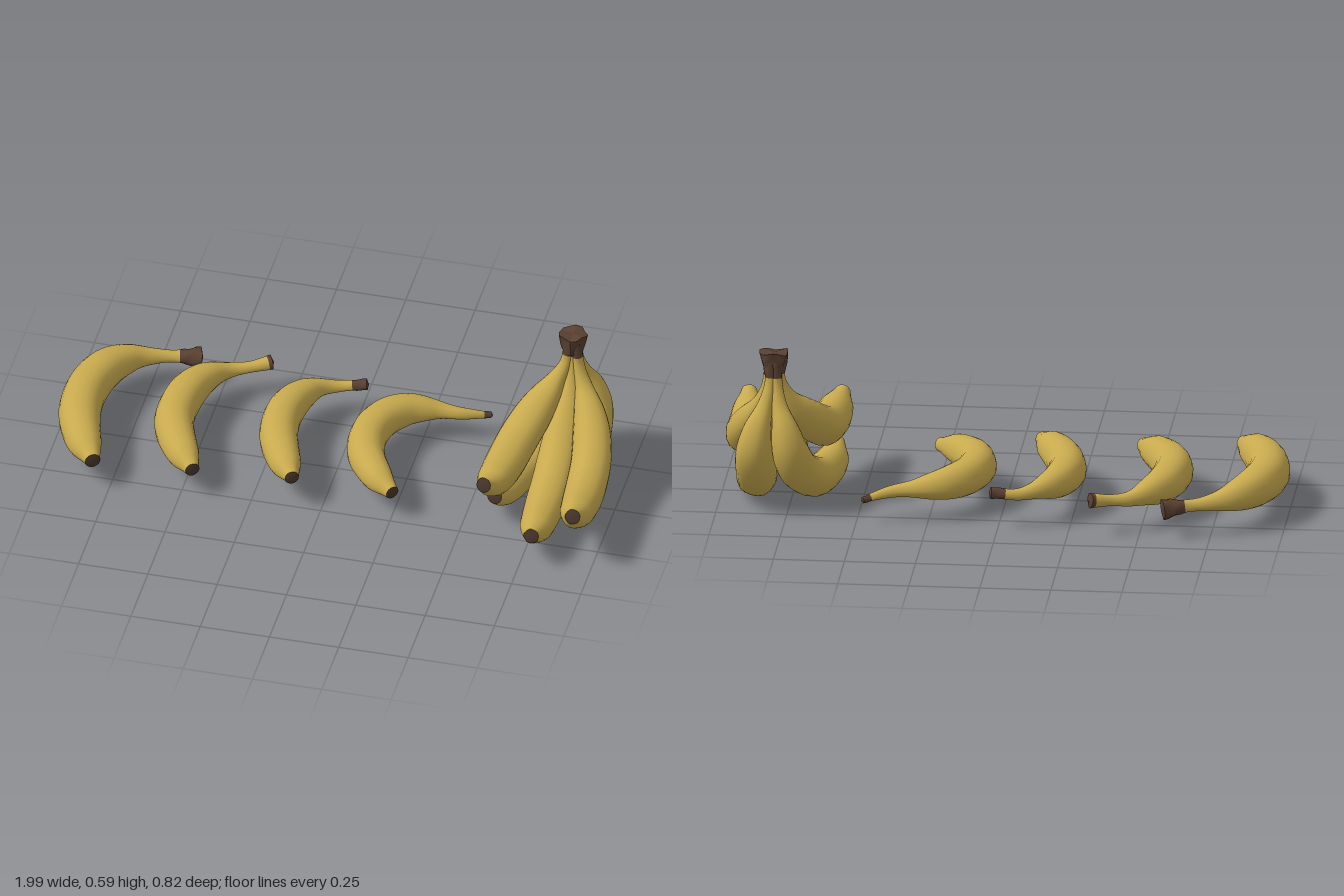
import * as THREE from 'three';

const mat = (name, color) => {
  const m = new THREE.MeshStandardMaterial({ color });
  m.name = name;
  return m;
};

const RINGS = 60, SIDES = 20;
// Radius at even steps from blossom tip to stem end
const PROFILE = [0.027, 0.056, 0.067, 0.072, 0.073, 0.072, 0.067, 0.053, 0.031, 0.021];

// Sweeps a banana along a centre line running from blossom tip to stem end.
// brown = share of the length with a dried stem, endR = stem end radius
function banana(name, points, materials, { size = 1, endR = 0.022, brown = 0.04 } = {}) {
  const curve = new THREE.CatmullRomCurve3(points.map(p => new THREE.Vector3(...p)));
  const { tangents, normals, binormals } = curve.computeFrenetFrames(RINGS, false);
  const keys = [...PROFILE.map(r => r * size), endR];
  const radius = new THREE.SplineCurve(keys.map((r, i) => new THREE.Vector2(i, r)));
  const pos = [], idx = [];
  const ring = (i) => {
    const c = curve.getPointAt(i / RINGS), t = i / RINGS;
    const r0 = radius.getPoint(t).y;
    for (let j = 0; j < SIDES; j++) {
      const a = j / SIDES * Math.PI * 2;
      // faint five-sided ridges; dried stem is a little gnarled
      const rough = t > 1 - brown ? 0.1 * Math.sin(a * 3 + i * 1.7) : 0;
      const r = r0 * (1 + 0.02 * Math.cos(5 * a) + rough);
      const p = c.clone().addScaledVector(normals[i], r * Math.cos(a)).addScaledVector(binormals[i], r * Math.sin(a));
      pos.push(p.x, p.y, p.z);
    }
  };
  for (let i = 0; i <= RINGS; i++) ring(i);
  for (let i = 0; i < RINGS; i++) {
    for (let j = 0; j < SIDES; j++) {
      const k = (j + 1) % SIDES;
      const a = i * SIDES + j, b = i * SIDES + k;
      idx.push(a, b, b + SIDES, a, b + SIDES, a + SIDES);
    }
  }
  // slightly domed end caps with their own rim
  const caps = [[0, -1], [RINGS, 1]].map(([i, dir]) => {
    const first = pos.length / 3, start = idx.length;
    ring(i);
    const c = curve.getPointAt(i / RINGS).addScaledVector(tangents[i], dir * 0.007);
    pos.push(c.x, c.y, c.z);
    for (let j = 0; j < SIDES; j++) {
      const a = first + j, b = first + (j + 1) % SIDES;
      idx.push(first + SIDES, dir > 0 ? a : b, dir > 0 ? b : a);
    }
    return start;
  });
  const geo = new THREE.BufferGeometry();
  geo.setAttribute('position', new THREE.Float32BufferAttribute(pos, 3));
  geo.setIndex(idx);
  geo.computeVertexNormals();
  const perRing = SIDES * 6;
  const split = Math.round(RINGS * (1 - brown)) * perRing;
  geo.addGroup(0, split, 0);
  geo.addGroup(split, RINGS * perRing - split, 1);
  geo.addGroup(caps[0], SIDES * 3, 2);
  geo.addGroup(caps[1], SIDES * 3, 1);
  const mesh = new THREE.Mesh(geo, materials);
  mesh.name = name;
  return mesh;
}

export function createModel() {
  const group = new THREE.Group();
  group.name = 'bananas';
  const peel = mat('peelYellow', 0xc8aa4e);
  const stem = mat('stemBrown', 0x594031);
  const tip = mat('tipBrown', 0x46352a);
  const mats = [peel, stem, tip];

  // Loose bananas lying in a row
  const loose = [
    { opts: { size: 1.03, endR: 0.036, brown: 0.09 }, path: [
      [-0.805, 0.13, 0.32], [-0.87, 0.135, 0.2], [-0.915, 0.137, 0.06], [-0.92, 0.137, -0.08], [-0.885, 0.137, -0.2],
      [-0.82, 0.13, -0.285], [-0.74, 0.12, -0.33], [-0.66, 0.115, -0.355], [-0.585, 0.108, -0.378]] },
    { opts: { size: 0.96, endR: 0.026, brown: 0.015 }, path: [
      [-0.455, 0.125, 0.28], [-0.525, 0.13, 0.17], [-0.58, 0.132, 0.04], [-0.587, 0.132, -0.07], [-0.565, 0.132, -0.18],
      [-0.52, 0.13, -0.26], [-0.46, 0.122, -0.315], [-0.395, 0.125, -0.345], [-0.33, 0.133, -0.378]] },
    { opts: { size: 0.93, endR: 0.02, brown: 0.06 }, path: [
      [-0.1, 0.143, 0.265], [-0.155, 0.14, 0.16], [-0.205, 0.137, 0.03], [-0.218, 0.137, -0.09], [-0.195, 0.137, -0.19],
      [-0.145, 0.135, -0.265], [-0.07, 0.125, -0.31], [0.025, 0.135, -0.33]] },
    { opts: { size: 0.92, endR: 0.011, brown: 0.04 }, path: [
      [0.255, 0.12, 0.235], [0.18, 0.128, 0.16], [0.115, 0.132, 0.05], [0.1, 0.134, -0.06], [0.13, 0.134, -0.16],
      [0.195, 0.13, -0.23], [0.28, 0.122, -0.262], [0.37, 0.112, -0.275], [0.425, 0.102, -0.295], [0.475, 0.09, -0.32]] },
  ];
  loose.forEach(({ path, opts }, i) => group.add(banana(`looseBanana${i + 1}`, path, mats, opts)));

  // Bunch hanging from one crown
  const bunch = new THREE.Group();
  bunch.name = 'bunch';
  const fingers = {
    upperRightBanana: [[0.605, 0.28, 0.32], [0.62, 0.245, 0.24], [0.632, 0.235, 0.12], [0.65, 0.255, 0],
      [0.69, 0.315, -0.1], [0.74, 0.395, -0.17], [0.775, 0.47, -0.195], [0.787, 0.56, -0.2]],
    frontBanana: [[0.795, 0.145, 0.395], [0.79, 0.115, 0.3], [0.787, 0.107, 0.18], [0.787, 0.13, 0.06],
      [0.787, 0.2, -0.07], [0.793, 0.3, -0.15], [0.8, 0.4, -0.19], [0.8, 0.48, -0.203], [0.8, 0.565, -0.205]],
    upperLeftBanana: [[0.942, 0.25, 0.385], [0.935, 0.205, 0.3], [0.93, 0.183, 0.2], [0.925, 0.187, 0.1], [0.917, 0.225, 0],
      [0.89, 0.295, -0.1], [0.85, 0.38, -0.17], [0.823, 0.46, -0.195], [0.812, 0.56, -0.2]],
    lowerLeftBanana: [[0.885, 0.118, 0.19], [0.885, 0.085, 0.1], [0.88, 0.073, 0], [0.87, 0.095, -0.1], [0.865, 0.155, -0.2],
      [0.865, 0.24, -0.258], [0.85, 0.33, -0.265], [0.825, 0.41, -0.245], [0.81, 0.48, -0.23], [0.808, 0.56, -0.225]],
    lowerRightBanana: [[0.613, 0.135, 0.19], [0.622, 0.1, 0.1], [0.64, 0.09, 0], [0.67, 0.1, -0.1], [0.71, 0.155, -0.2],
      [0.735, 0.24, -0.258], [0.755, 0.33, -0.265], [0.777, 0.41, -0.245], [0.787, 0.48, -0.23], [0.79, 0.56, -0.225]],
  };
  for (const [name, path] of Object.entries(fingers)) {
    bunch.add(banana(name, path, mats, { size: 0.98, brown: 0.06 }));
  }

  // Gnarled crown joining the stems
  const geo = new THREE.CylinderGeometry(0.048, 0.036, 0.07, 14, 3);
  const p = geo.attributes.position;
  for (let i = 0; i < p.count; i++) {
    const x = p.getX(i), y = p.getY(i), z = p.getZ(i);
    const a = Math.atan2(z, x);
    const k = 1 + 0.09 * Math.sin(5 * a + y * 40);
    p.setXYZ(i, x * k * 1.06, y + 0.006 * Math.sin(3 * a) * (Math.hypot(x, z) > 0.01 ? 1 : 0), z * k * 0.92);
  }
  geo.computeVertexNormals();
  const crown = new THREE.Mesh(geo, stem);
  crown.name = 'crown';
  crown.position.set(0.798, 0.556, -0.21);
  bunch.add(crown);
  group.add(bunch);
  return group;
}
